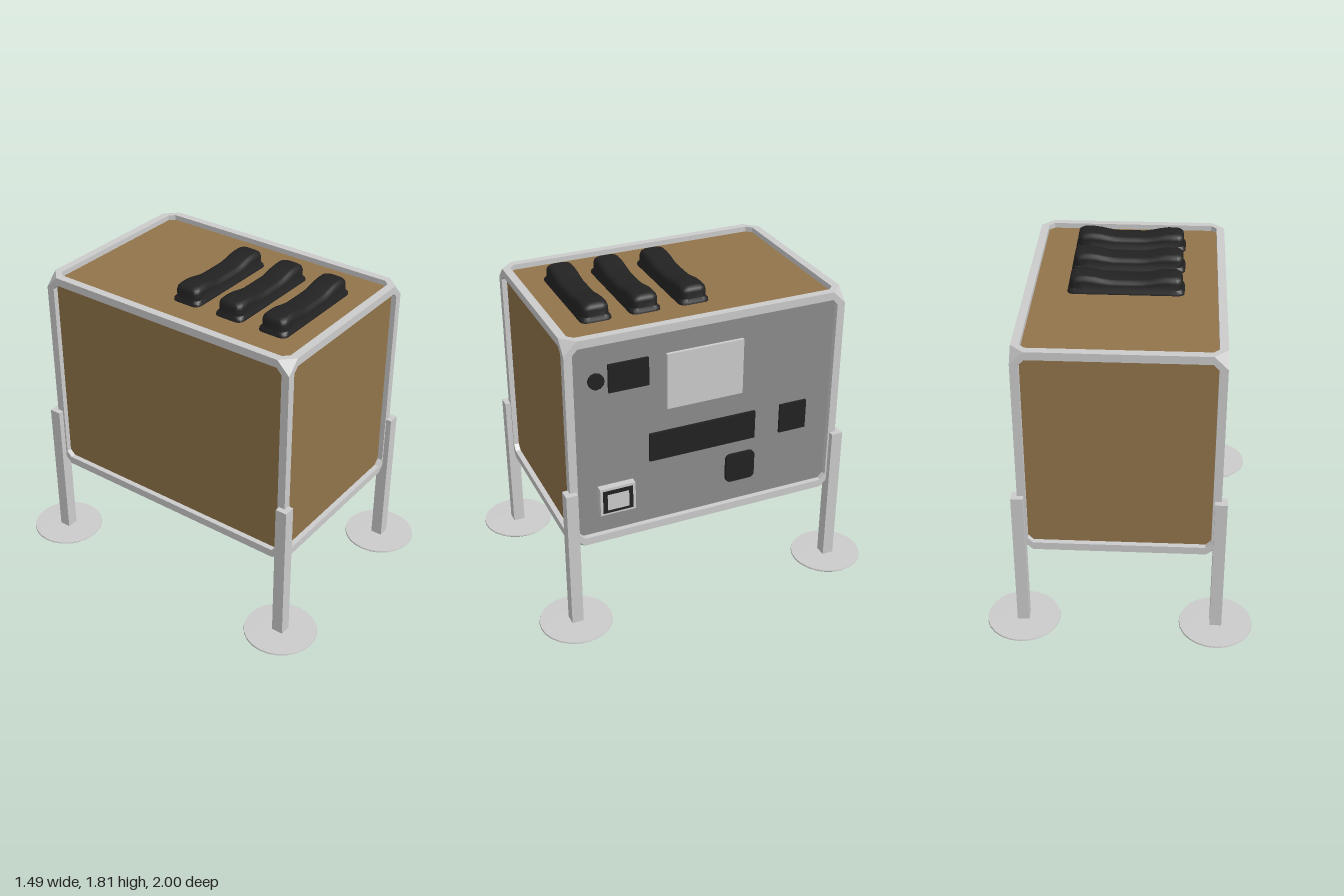
import * as THREE from 'three';
import { toCreasedNormals } from 'three/addons/utils/BufferGeometryUtils.js';

const W = 0.54, H = 0.615, D = 0.797;   // half sizes of the case
const MID = 1.13;                       // height of the case centre
const BAR = 0.045, RECESS = 0.03, CUT = 0.072;

const paint = (name, color) => {
  const m = new THREE.MeshStandardMaterial({ color });
  m.name = name;
  return m;
};

function add(parent, name, geometry, material, x = 0, y = 0, z = 0) {
  const mesh = new THREE.Mesh(geometry, material);
  mesh.name = name;
  mesh.position.set(x, y, z);
  parent.add(mesh);
  return mesh;
}

// Rectangle outline with its four corners cut at 45 degrees
function cutRect(Type, w, h, c) {
  const p = [[w - c, -h], [w, c - h], [w, h - c], [w - c, h], [c - w, h], [-w, h - c], [-w, c - h], [c - w, -h]];
  return new Type(p.map(([x, y]) => new THREE.Vector2(x, y)));
}

// One face of the frame: a flat ring whose outer side lies at z = out
function frameFace(w, h, out) {
  const shape = cutRect(THREE.Shape, w, h, CUT);
  shape.holes.push(cutRect(THREE.Path, w - BAR, h - BAR, 0.03));
  const g = new THREE.ExtrudeGeometry(shape, { depth: RECESS + 0.005, bevelEnabled: false });
  return g.translate(0, 0, out - RECESS - 0.005);
}

// Triangles closing the eight cut corners of the frame
function cornerFacets() {
  const pos = [];
  for (const sx of [-1, 1]) for (const sy of [-1, 1]) for (const sz of [-1, 1]) {
    const tri = [[W - CUT, H, D], [W, H - CUT, D], [W, H, D - CUT]];
    if (sx * sy * sz < 0) tri.reverse();
    for (const [x, y, z] of tri) pos.push(x * sx, y * sy, z * sz);
  }
  const g = new THREE.BufferGeometry();
  g.setAttribute('position', new THREE.Float32BufferAttribute(pos, 3));
  g.computeVertexNormals();
  return g;
}

// Rubber grip: rounded-rectangle rings stacked upward, with a dip in the middle of the top
function gripGeometry() {
  const rings = [ // half length, half width, height, share of the dip
    [0.316, 0.086, 0, 0], [0.314, 0.085, 0.012, 0], [0.304, 0.074, 0.026, 0], [0.304, 0.074, 0.062, 0.7],
    [0.3, 0.069, 0.08, 1], [0.29, 0.06, 0.09, 1], [0.275, 0.045, 0.094, 1],
  ];
  const pos = [], index = [];
  let m = 0;
  for (const [a, b, y, share] of rings) {
    const r = Math.min(0.035, b * 0.6), half = [];
    for (let i = 0; i <= 4; i++) {
      const t = i / 4 * Math.PI / 2;
      half.push([a - r + r * Math.cos(t), b - r + r * Math.sin(t)]);
    }
    for (let i = 1; i < 12; i++) half.push([(a - r) * (1 - i / 6), b]);
    for (let i = 4; i >= 0; i--) half.push([-half[i][0], half[i][1]]);
    m = half.length;
    const ring = [...half, ...half.slice().reverse().map(([x, z]) => [x, -z])];
    for (const [x, z] of ring) {
      const dip = 0.023 * (1 - THREE.MathUtils.smoothstep(Math.abs(x), 0.07, 0.22));
      pos.push(x, y - dip * share, z);
    }
  }
  const n = 2 * m;
  for (let k = 0; k < rings.length - 1; k++) for (let i = 0; i < n; i++) {
    const a = k * n + i, b = k * n + (i + 1) % n;
    index.push(a, a + n, b, b, a + n, b + n);
  }
  const top = (rings.length - 1) * n;
  for (let j = 0; j < m - 1; j++) {
    const a = top + j, b = a + 1, c = top + n - 1 - j, d = c - 1;
    index.push(a, c, b, b, c, d);
  }
  const g = new THREE.BufferGeometry();
  g.setAttribute('position', new THREE.Float32BufferAttribute(pos, 3));
  g.setIndex(index);
  return toCreasedNormals(g, 0.7);
}

export function createModel() {
  const metal = paint('light metal', 0xcbcbcb);
  const grey = paint('panel grey', 0x8b8b8b);
  const wood = paint('brown board', 0x91744a);
  const black = paint('black rubber', 0x222222);
  const model = new THREE.Group();
  model.name = 'equipmentCase';

  // Recessed boards, with the control panel on the +x side
  const core = new THREE.BoxGeometry(2 * (W - RECESS), 2 * (H - RECESS), 2 * (D - RECESS));
  add(model, 'boards', core, [grey, wood, wood, wood, wood, wood], 0, MID, 0);

  // Frame around all six faces
  const frame = new THREE.Group();
  frame.name = 'frame';
  frame.position.y = MID;
  model.add(frame);
  for (const s of [0, 1]) {
    add(frame, 'endFrame', frameFace(W, H, D), metal).rotation.y = s * Math.PI;
    add(frame, 'sideFrame', frameFace(D, H, W), metal).rotation.y = (s - 0.5) * Math.PI;
    add(frame, 'flatFrame', frameFace(W, D, H), metal).rotation.x = (s - 0.5) * Math.PI;
  }
  add(frame, 'cornerFacets', cornerFacets(), metal);

  // Legs and round feet
  const legGeo = new THREE.BoxGeometry(0.066, 0.84, 0.066);
  const profile = [[0, 0], [0.1, 0.002], [0.165, 0.005], [0.195, 0.017], [0.205, 0.026], [0.203, 0.034], [0, 0.036]];
  const footGeo = toCreasedNormals(
    new THREE.LatheGeometry(profile.map(([x, y]) => new THREE.Vector2(x, y)), 24), 0.6);
  for (const x of [-0.538, 0.538]) for (const z of [-0.795, 0.795]) {
    add(model, 'leg', legGeo, metal, x, 0.45, z);
    add(model, 'foot', footGeo, metal, x, 0, z);
  }

  // Three grips on the top
  const grip = gripGeometry();
  for (const z of [-0.02, 0.257, 0.53]) add(model, 'grip', grip, black, 0, 1.715, z);

  // Control panel fittings: z range, y range, front x
  const face = W - RECESS;
  const plate = (name, z0, z1, y0, y1, front, material) => add(model, name,
    new THREE.BoxGeometry(front - face + 0.005, y1 - y0, z1 - z0), material,
    (front + face - 0.005) / 2, (y0 + y1) / 2, (z0 + z1) / 2);
  plate('switchPlate', 0.335, 0.558, 1.41, 1.57, face + 0.015, black);
  plate('display', -0.205, 0.235, 1.245, 1.567, face + 0.018, metal);
  plate('connectorStrip', -0.29, 0.335, 0.943, 1.11, face + 0.015, black);
  plate('sidePlate', -0.605, -0.443, 0.937, 1.11, face + 0.015, black);
  plate('socketBox', 0.43, 0.632, 0.687, 0.853, 0.55, metal);
  plate('socketRing', 0.446, 0.617, 0.7, 0.838, 0.553, black);
  plate('socketFace', 0.47, 0.592, 0.718, 0.814, 0.556, metal);

  // Round knob
  const knob = new THREE.CylinderGeometry(0.044, 0.044, 0.025, 12);
  add(model, 'knob', knob, black, face + 0.008, 1.49, 0.625).rotation.z = -Math.PI / 2;

  // Square button with rounded corners
  const s = 0.087, r = 0.03, button = new THREE.Shape();
  [[1, 1, 0], [-1, 1, 0.5], [-1, -1, 1], [1, -1, 1.5]].forEach(([x, y, t]) =>
    button.absarc(x * (s - r), y * (s - r), r, t * Math.PI, (t + 0.5) * Math.PI, false));
  const buttonGeo = new THREE.ExtrudeGeometry(button, { depth: 0.02, bevelEnabled: false, curveSegments: 4 });
  add(model, 'button', buttonGeo, black, face - 0.003, 0.776, -0.206).rotation.y = Math.PI / 2;

  return model;
}
